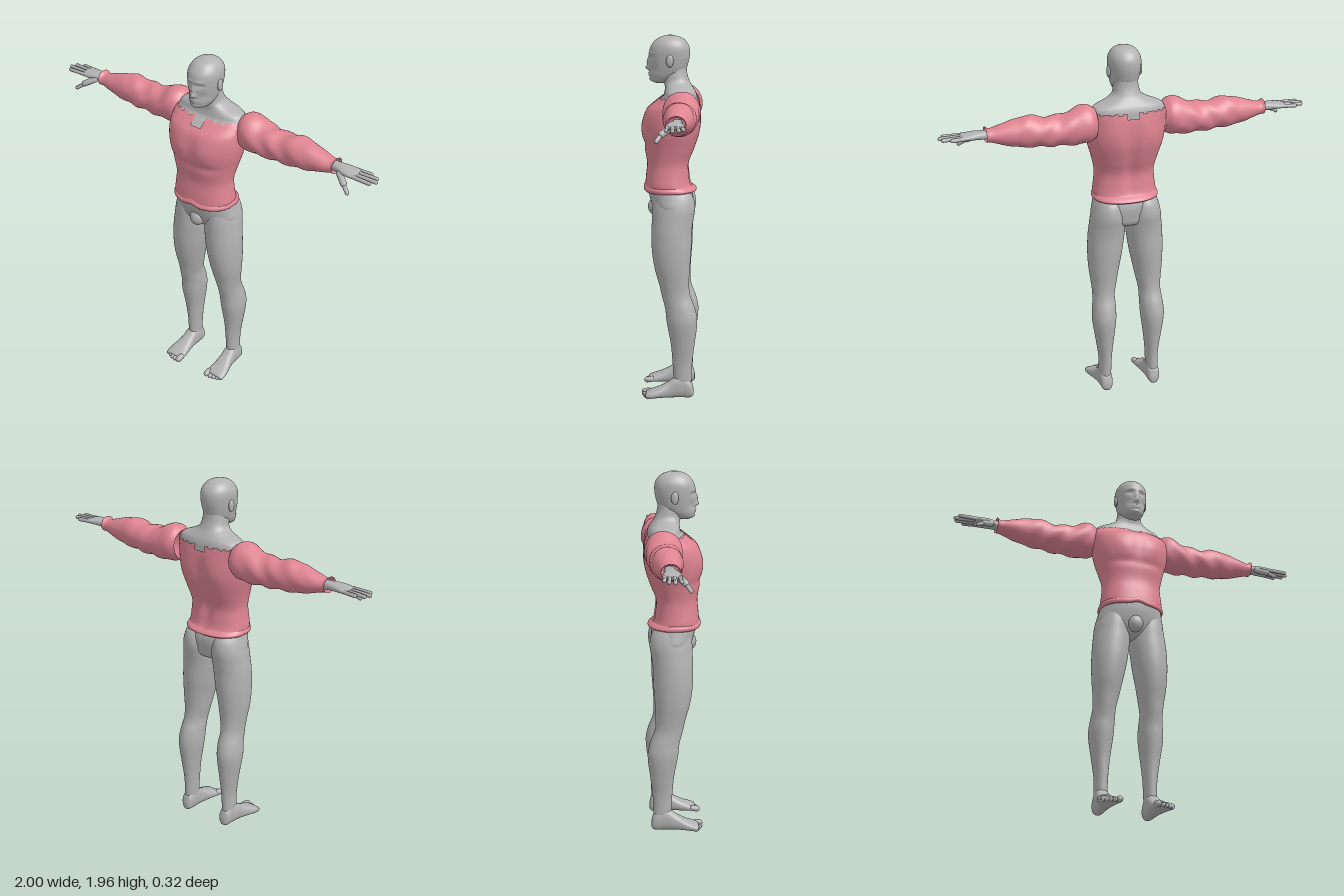
import * as THREE from 'three';

const skin = new THREE.MeshStandardMaterial({ name: 'grey skin', color: 0xb2b2b2 });
const cloth = new THREE.MeshStandardMaterial({ name: 'pink cloth', color: 0xde8491, side: THREE.DoubleSide });

// Smooth value of column k at fraction f of the span between rows i and i + 1
function blend(rows, i, f, k) {
  const slope = (j) => {
    const p = rows[Math.max(j - 1, 0)], q = rows[Math.min(j + 1, rows.length - 1)];
    return (q[k] - p[k]) / (q[0] - p[0]);
  };
  const a = rows[i], b = rows[i + 1], h = b[0] - a[0], f2 = f * f, f3 = f2 * f;
  return (2 * f3 - 3 * f2 + 1) * a[k] + (f3 - 2 * f2 + f) * h * slope(i)
    + (3 * f2 - 2 * f3) * b[k] + (f3 - f2) * h * slope(i + 1);
}

// Skin over rounded sections. Rows rise along the axis:
// axis y [y, z0, z1, x0, x1], axis x [x, y0, y1, z0, z1], axis z [z, x0, x1, y0, y1]
function loft(axis, rows, { n = 2, seg = 40, sub = 6, cap = true, warp, skip } = {}) {
  const pos = [], index = [], steps = (rows.length - 1) * sub;
  const place = (t, a, b) => {
    const v = axis === 'y' ? new THREE.Vector3(b, t, a)
      : axis === 'x' ? new THREE.Vector3(t, a, b) : new THREE.Vector3(a, b, t);
    if (warp) warp(v);
    pos.push(v.x, v.y, v.z);
  };
  const bend = (c) => Math.sign(c) * Math.abs(c) ** (2 / n);
  for (let s = 0; s <= steps; s++) {
    const i = Math.min(Math.floor(s / sub), rows.length - 2), f = s / sub - i;
    const t = rows[i][0] + (rows[i + 1][0] - rows[i][0]) * f;
    const [a0, a1, b0, b1] = [1, 2, 3, 4].map((k) => blend(rows, i, f, k));
    for (let j = 0; j < seg; j++) {
      const w = (j / seg) * Math.PI * 2;
      place(t, (a0 + a1) / 2 + bend(Math.cos(w)) * (a1 - a0) / 2,
        (b0 + b1) / 2 + bend(Math.sin(w)) * (b1 - b0) / 2);
    }
  }
  for (let s = 0; s < steps; s++) for (let j = 0; j < seg; j++) {
    if (skip && skip(steps - s, j)) continue;
    const a = s * seg + j, b = s * seg + (j + 1) % seg;
    index.push(a, b, b + seg, a, b + seg, a + seg);
  }
  if (cap) [0, steps].forEach((s) => {
    const r = rows[s ? rows.length - 1 : 0], c = pos.length / 3;
    place(r[0], (r[1] + r[2]) / 2, (r[3] + r[4]) / 2);
    for (let j = 0; j < seg; j++) {
      const a = s * seg + j, b = s * seg + (j + 1) % seg;
      if (s) index.push(c, a, b); else index.push(c, b, a);
    }
  });
  const g = new THREE.BufferGeometry();
  g.setAttribute('position', new THREE.Float32BufferAttribute(pos, 3));
  g.setIndex(index);
  g.computeVertexNormals();
  return g;
}

// Copy reflected to the other side, with its corners reordered
function mirrored(geo) {
  const g = geo.clone().scale(-1, 1, 1), ix = g.index.array;
  for (let i = 0; i < ix.length; i += 3) [ix[i], ix[i + 1]] = [ix[i + 1], ix[i]];
  g.computeVertexNormals();
  return g;
}

// Rounded digit between two points
function digit(p, q, r) {
  const a = new THREE.Vector3(...p), b = new THREE.Vector3(...q), d = b.clone().sub(a);
  const g = new THREE.CapsuleGeometry(r, Math.max(d.length() - r, 0.001), 5, 12);
  g.applyQuaternion(new THREE.Quaternion().setFromUnitVectors(new THREE.Vector3(0, 1, 0), d.normalize()));
  return g.translate((a.x + b.x) / 2, (a.y + b.y) / 2, (a.z + b.z) / 2);
}

const ball = (x, y, z, rx, ry, rz) => new THREE.SphereGeometry(1, 24, 16).scale(rx, ry, rz).translate(x, y, z);
const bump = (d, s) => Math.exp(-((d / s) ** 2));

// Facial relief: [x, y, width, height, depth]
const relief = [
  [0, 1.815, 0.011, 0.026, 0.014], [0, 1.785, 0.015, 0.012, 0.019],
  [0.034, 1.84, 0.018, 0.011, -0.014], [0.034, 1.837, 0.01, 0.006, 0.006],
  [0.03, 1.862, 0.026, 0.008, 0.006], [0, 1.757, 0.022, 0.005, 0.009],
  [0, 1.745, 0.02, 0.005, 0.008], [0, 1.722, 0.022, 0.01, 0.006],
  [0.045, 1.785, 0.018, 0.02, -0.006],
];
const face = (v) => {
  if (v.z < 0.03) return;
  const k = Math.min((v.z - 0.03) / 0.04, 1);
  for (const [x, y, sx, sy, d] of relief) v.z += k * d * bump(Math.abs(v.x) - x, sx) * bump(v.y - y, sy);
};

// Chest, belly and back muscles under the cloth
const muscles = (v) => {
  const x = Math.abs(v.x);
  if (v.z > 0.02) {
    v.z += 0.01 * bump(x - 0.09, 0.07) * bump(v.y - 1.48, 0.06);
    v.z -= 0.008 * bump(x, 0.018) * bump(v.y - 1.46, 0.12);
    v.z -= 0.008 * bump(v.y - 1.385, 0.02) * bump(x - 0.08, 0.08);
  } else if (v.z < -0.03) {
    v.z += 0.022 * bump(x, 0.028) * bump(v.y - 1.36, 0.2);
    v.z -= 0.008 * bump(x - 0.1, 0.05) * bump(v.y - 1.5, 0.07);
  }
};

// Soft folds along the sleeve
const folds = (v) => {
  const w = 0.004 * Math.sin(v.x * 55 + v.z * 30) * bump(v.x - 0.42, 0.2);
  v.y += w * Math.sign(v.y - 1.56) * Math.min(Math.abs(v.y - 1.56) / 0.04, 1);
  v.z += 0.004 * Math.sin(v.x * 48 + v.y * 40) * bump(v.x - 0.4, 0.2);
};

export function createModel() {
  const model = new THREE.Group();
  const add = (name, geo, mat = skin) => {
    const m = new THREE.Mesh(geo, mat);
    m.name = name;
    model.add(m);
  };
  const pair = (name, geo, mat) => {
    add('left' + name, geo, mat);
    add('right' + name, mirrored(geo), mat);
  };

  // Head, neck and shoulders
  add('head', loft('y', [
    [1.706, 0.03, 0.085, -0.025, 0.025], [1.716, 0, 0.106, -0.045, 0.045],
    [1.74, -0.04, 0.114, -0.062, 0.062], [1.77, -0.075, 0.115, -0.072, 0.072],
    [1.81, -0.09, 0.117, -0.08, 0.08], [1.85, -0.098, 0.118, -0.085, 0.085],
    [1.89, -0.097, 0.113, -0.085, 0.085], [1.92, -0.083, 0.095, -0.074, 0.074],
    [1.945, -0.053, 0.065, -0.05, 0.05], [1.958, -0.012, 0.024, -0.014, 0.014],
  ], { seg: 80, sub: 7, n: 2.1, warp: face }));
  pair('Ear', ball(0.086, 1.825, 0.005, 0.01, 0.033, 0.02));
  add('neckAndShoulders', loft('y', [
    [1.5, -0.14, 0.13, -0.195, 0.195], [1.57, -0.143, 0.115, -0.203, 0.203],
    [1.61, -0.14, 0.075, -0.203, 0.203], [1.635, -0.138, 0.045, -0.2, 0.2],
    [1.66, -0.13, 0.036, -0.18, 0.18], [1.685, -0.115, 0.034, -0.118, 0.118],
    [1.71, -0.1, 0.04, -0.078, 0.078], [1.75, -0.086, 0.05, -0.066, 0.066],
    [1.8, -0.08, 0.045, -0.06, 0.06],
  ], { n: 2.3, seg: 48 }));

  // Sweater body with a notched neckline, and its hem
  add('sweaterBody', loft('y', [
    [1.145, -0.118, 0.14, -0.172, 0.172], [1.17, -0.106, 0.139, -0.172, 0.172],
    [1.21, -0.1, 0.136, -0.167, 0.167], [1.28, -0.098, 0.13, -0.163, 0.163],
    [1.36, -0.128, 0.143, -0.18, 0.18], [1.44, -0.152, 0.153, -0.203, 0.203],
    [1.51, -0.158, 0.149, -0.215, 0.215], [1.57, -0.157, 0.13, -0.215, 0.215],
    [1.61, -0.152, 0.085, -0.212, 0.212], [1.635, -0.147, 0.052, -0.207, 0.207],
  ], {
    n: 2.3, seg: 56, cap: false, warp: muscles,
    skip: (fromTop, j) => (fromTop <= 8 && (j === 0 || j === 55))
      || (fromTop <= 7 && (j === 27 || j === 28)) || (fromTop <= 2 && (j * 7) % 5 < 2),
  }), cloth);
  add('sweaterHem', loft('y', [
    [1.126, -0.128, 0.139, -0.171, 0.171], [1.133, -0.137, 0.146, -0.179, 0.179],
    [1.145, -0.13, 0.147, -0.179, 0.179], [1.158, -0.112, 0.139, -0.171, 0.171],
  ], {
    n: 2.3, seg: 56, cap: false,
    warp: (v) => { if (v.z > 0) v.y += 0.014 * bump(v.x, 0.035); },
  }), cloth);

  // Sleeves
  pair('Sleeve', loft('x', [
    [0.185, 1.5, 1.655, -0.14, 0.01], [0.22, 1.48, 1.678, -0.158, 0.028],
    [0.26, 1.475, 1.678, -0.162, 0.032], [0.32, 1.475, 1.65, -0.158, 0.028],
    [0.38, 1.477, 1.638, -0.152, 0.022], [0.45, 1.48, 1.636, -0.147, 0.02],
    [0.54, 1.485, 1.65, -0.14, 0.018], [0.6, 1.492, 1.638, -0.132, 0.012],
    [0.68, 1.512, 1.616, -0.115, 0], [0.74, 1.53, 1.6, -0.1, -0.012],
    [0.76, 1.53, 1.612, -0.104, -0.006],
  ], { cap: false, warp: folds }), cloth);

  // Hands
  pair('Palm', loft('x', [
    [0.7, 1.54, 1.592, -0.087, -0.03], [0.76, 1.547, 1.592, -0.086, -0.026],
    [0.8, 1.55, 1.592, -0.092, -0.014], [0.84, 1.553, 1.588, -0.099, -0.006],
    [0.875, 1.556, 1.583, -0.1, -0.008], [0.888, 1.563, 1.577, -0.09, -0.02],
  ], { seg: 28, sub: 4, n: 2.3 }));
  [[-0.089, 0.94, -0.096], [-0.066, 0.982, -0.076], [-0.042, 0.994, -0.047], [-0.018, 0.975, -0.016]]
    .forEach(([z, tip, tipZ], i) => pair('Finger' + (i + 1), digit([0.862, 1.57, z], [tip, 1.568, tipZ], 0.0105)));
  pair('ThumbBase', digit([0.79, 1.562, -0.028], [0.85, 1.53, 0.016], 0.017));
  pair('Thumb', digit([0.835, 1.538, 0.008], [0.885, 1.502, 0.036], 0.0105));

  // Hips and legs
  add('hips', loft('y', [
    [0.965, -0.05, 0.04, -0.05, 0.05], [0.99, -0.1, 0.075, -0.14, 0.14],
    [1.04, -0.115, 0.1, -0.187, 0.187], [1.1, -0.118, 0.118, -0.18, 0.18],
    [1.16, -0.098, 0.126, -0.164, 0.164],
  ], { n: 2.2 }));
  add('groin', ball(0, 1.035, 0.085, 0.043, 0.048, 0.042));
  pair('Leg', loft('y', [
    [0.04, -0.115, -0.02, 0.106, 0.17], [0.1, -0.115, -0.018, 0.104, 0.171],
    [0.2, -0.12, -0.012, 0.1, 0.173], [0.3, -0.132, -0.003, 0.09, 0.187],
    [0.43, -0.146, 0.02, 0.074, 0.205], [0.5, -0.134, 0.028, 0.072, 0.2],
    [0.57, -0.108, 0.046, 0.072, 0.193], [0.63, -0.101, 0.06, 0.06, 0.197],
    [0.72, -0.105, 0.085, 0.042, 0.207], [0.82, -0.112, 0.1, 0.022, 0.211],
    [0.92, -0.115, 0.102, 0.008, 0.207], [0.98, -0.122, 0.1, 0.004, 0.2],
    [1.04, -0.131, 0.098, 0.006, 0.192], [1.1, -0.122, 0.09, 0.02, 0.176],
    [1.15, -0.09, 0.07, 0.04, 0.155],
  ]));

  // Feet
  pair('Foot', loft('z', [
    [-0.127, 0.122, 0.15, 0.015, 0.05], [-0.115, 0.108, 0.168, 0.002, 0.09],
    [-0.07, 0.102, 0.174, 0, 0.125], [-0.03, 0.102, 0.177, 0, 0.118],
    [0.01, 0.1, 0.182, 0, 0.088], [0.06, 0.094, 0.196, 0, 0.06],
    [0.105, 0.089, 0.203, 0, 0.042], [0.132, 0.095, 0.198, 0.005, 0.03],
  ], { seg: 32, n: 2.4 }));
  [[0.103, 0.158, 0.017], [0.129, 0.156, 0.012], [0.15, 0.15, 0.0115], [0.17, 0.141, 0.011], [0.188, 0.131, 0.0105]]
    .forEach(([x, z, r], i) => pair('Toe' + (i + 1), digit([x, r + 0.006, z - 0.05], [x, r, z - r / 2], r)));

  return model;
}
